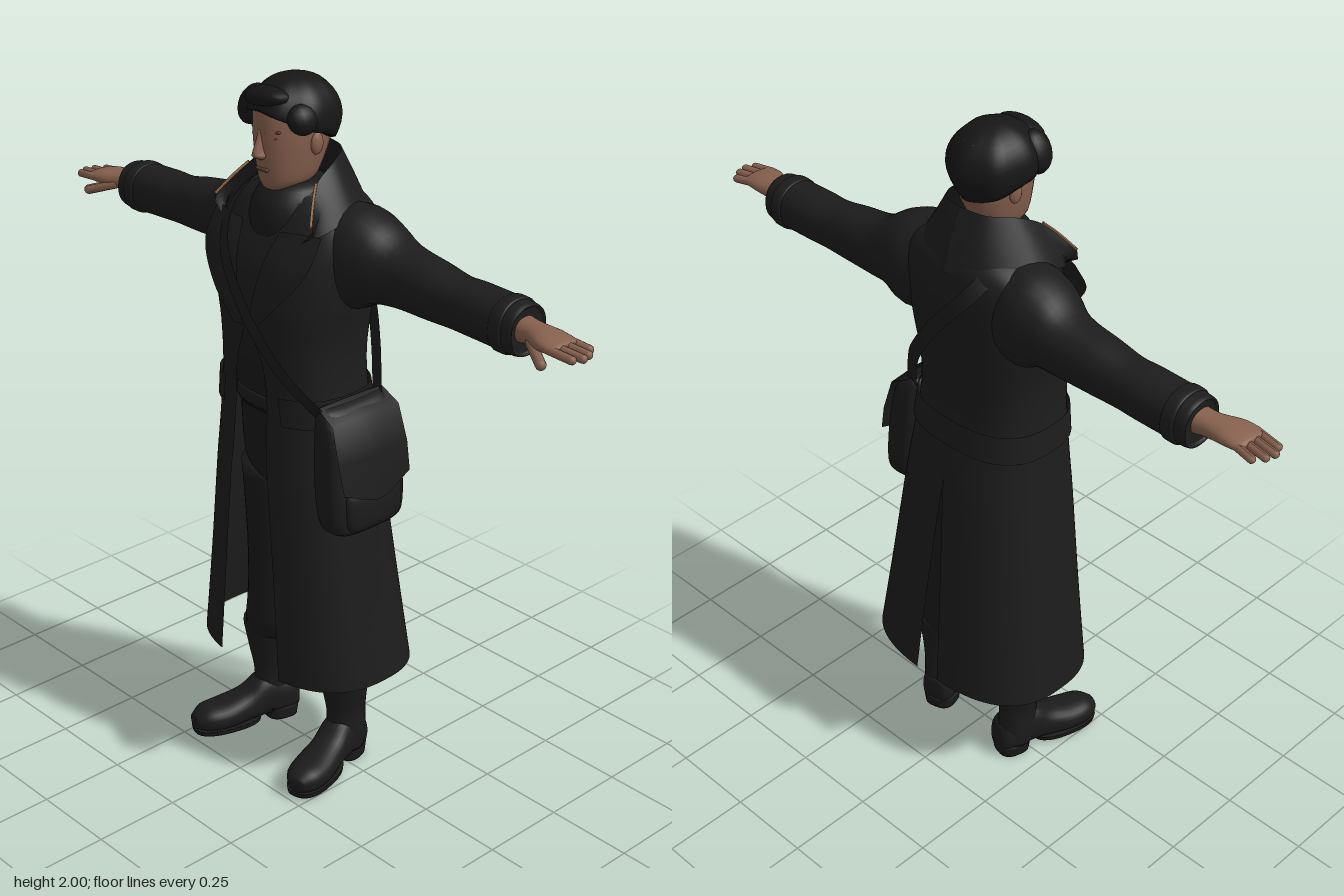
import * as THREE from 'three';

const colour = (name, hex, side = THREE.DoubleSide) => {
  const m = new THREE.MeshStandardMaterial({ color: hex, side });
  m.name = name;
  return m;
};
const V = (p) => new THREE.Vector3(...p);

// Smoothly interpolates rows of numbers (Catmull-Rom), k steps per row
function smooth(rows, k = 4) {
  const out = [];
  const at = (i) => rows[Math.min(Math.max(i, 0), rows.length - 1)];
  for (let i = 0; i < rows.length - 1; i++) {
    const [a, b, c, d] = [at(i - 1), at(i), at(i + 1), at(i + 2)];
    for (let s = 0; s < k; s++) {
      const t = s / k;
      out.push(b.map((_, n) => b[n] + 0.5 * t * (c[n] - a[n] + t * (2 * a[n] - 5 * b[n] + 4 * c[n] - d[n]
        + t * (3 * (b[n] - c[n]) + d[n] - a[n])))));
    }
  }
  out.push(at(rows.length - 1));
  return out;
}

// Joins rings of points into a surface; closed rings get end caps
function skin(rings, closed) {
  const n = rings[0].length, pos = rings.flat(2), idx = [], m = rings.length;
  for (let i = 0; i < m - 1; i++) {
    for (let j = 0; j < (closed ? n : n - 1); j++) {
      const a = i * n + j, b = i * n + (j + 1) % n;
      idx.push(a, a + n, b, b, a + n, b + n);
    }
  }
  if (closed) {
    [0, m - 1].forEach((r, e) => {
      const c = pos.length / 3;
      for (let q = 0; q < 3; q++) pos.push(rings[r].reduce((s, p) => s + p[q], 0) / n);
      for (let j = 0; j < n; j++) {
        const a = r * n + j, b = r * n + (j + 1) % n;
        if (e) idx.push(c, b, a); else idx.push(c, a, b);
      }
    });
  }
  const g = new THREE.BufferGeometry();
  g.setAttribute('position', new THREE.Float32BufferAttribute(pos, 3));
  g.setIndex(idx);
  g.computeVertexNormals();
  return g;
}

const pw = (v, p) => Math.sign(v) * Math.abs(v) ** (2 / p);

// Superellipse loft. y rows: [y, cx, cz, rx, rz]; x rows: [x, cy, cz, ry, rz]; z rows: [z, cx, cy, rx, ry]
function loft(axis, rows, p = 2, n = 28) {
  return skin(smooth(rows).map(([s, a, b, ra, rb]) => Array.from({ length: n }, (_, j) => {
    const t = (j / n) * Math.PI * 2, c = pw(Math.cos(t), p), q = pw(Math.sin(t), p);
    if (axis === 'y') return [a + ra * c, s, b + rb * q];
    if (axis === 'x') return [s, a + ra * q, b + rb * c];
    return [a + ra * q, b + rb * c, s];
  })), true);
}

// Cloth patch stretched over several curves
const patch = (curves) => skin(curves.map((c) =>
  new THREE.CatmullRomCurve3(c.map(V)).getPoints(40).map((v) => v.toArray())), false);

// Rounded limb between two points
function limb(a, b, r) {
  const d = V(b).sub(V(a)), g = new THREE.CapsuleGeometry(r, d.length(), 4, 10);
  g.applyQuaternion(new THREE.Quaternion().setFromUnitVectors(new THREE.Vector3(0, 1, 0), d.clone().normalize()));
  return g.translate(...V(a).addScaledVector(d, 0.5).toArray());
}

function mirror(geo) {
  const g = geo.clone().scale(-1, 1, 1), i = g.index.array;
  for (let k = 0; k < i.length; k += 3) [i[k], i[k + 1]] = [i[k + 1], i[k]];
  g.computeVertexNormals();
  return g;
}

// Half coat panel. Rows: [y, half width, z front, z back, front gap, back slit]
function panel(rows, grow = 0) {
  const p = 2.6, n = 32;
  return skin(smooth(rows).map(([y, w, zf, zb, gap, slit]) => {
    const edge = (x) => Math.asin((Math.max(x, 0) / w) ** (p / 2));
    const t0 = edge(gap), t1 = Math.PI - edge(slit);
    return Array.from({ length: n + 1 }, (_, j) => {
      const t = t0 + (t1 - t0) * j / n;
      return [(w + grow) * pw(Math.max(Math.sin(t), 0), p), y,
        (zf + zb) / 2 + ((zf - zb) / 2 + grow) * pw(Math.cos(t), p)];
    });
  }), false);
}

export function createModel() {
  const group = new THREE.Group();
  const coat = colour('coat cloth', 0x1c1c1c), dark = colour('trousers and scarf', 0x191919);
  const leather = colour('leather', 0x1b1b1b), hairMat = colour('hair', 0x161616);
  const flesh = colour('skin', 0x86604d), shade = colour('brows and lips', 0x5c4034), tan = colour('tan trim', 0x9c6f4a);
  const add = (name, geo, mat) => {
    const m = new THREE.Mesh(geo, mat);
    m.name = name;
    group.add(m);
  };
  const pair = (name, geo, mat) => {
    add(name + 'Left', geo, mat);
    add(name + 'Right', mirror(geo), mat);
  };

  // Long coat, open below the waist and slit at the back
  pair('coat', panel([[0.33, 0.315, 0.215, -0.235, 0.12, 0.04], [0.6, 0.275, 0.21, -0.205, 0.1, 0.026],
    [0.9, 0.235, 0.205, -0.17, 0.075, 0.006], [1.0, 0.222, 0.2, -0.155, 0.065, 0], [1.15, 0.205, 0.192, -0.126, 0.06, 0],
    [1.25, 0.198, 0.195, -0.122, 0.05, 0], [1.33, 0.2, 0.2, -0.13, 0.02, 0], [1.42, 0.213, 0.203, -0.14, 0, 0],
    [1.52, 0.223, 0.185, -0.147, 0, 0], [1.6, 0.223, 0.15, -0.145, 0, 0], [1.66, 0.19, 0.12, -0.135, 0, 0],
    [1.7, 0.12, 0.09, -0.11, 0, 0]]), coat);
  pair('waistFlap', panel([[1.1, 0.212, 0.193, -0.135, 0.11, 0.0], [1.18, 0.203, 0.192, -0.124, 0.1, 0]], 0.008), coat);
  pair('lapel', patch([
    [[0.2, 1.63, 0.125], [0.195, 1.54, 0.175], [0.12, 1.44, 0.21], [0.04, 1.36, 0.215]],
    [[0.13, 1.63, 0.15], [0.12, 1.54, 0.195], [0.08, 1.45, 0.215], [0.03, 1.36, 0.215]],
    [[0.07, 1.62, 0.15], [0.05, 1.54, 0.19], [0.03, 1.45, 0.207], [0.01, 1.36, 0.21]]]), coat);

  // Turned-up collar with trim
  pair('collar', patch([
    [[0, 1.64, -0.145], [0.12, 1.65, -0.115], [0.19, 1.66, 0], [0.185, 1.63, 0.1], [0.14, 1.6, 0.155]],
    [[0, 1.73, -0.118], [0.09, 1.73, -0.092], [0.15, 1.725, 0], [0.165, 1.695, 0.085], [0.19, 1.635, 0.145]],
    [[0, 1.805, -0.085], [0.07, 1.8, -0.065], [0.112, 1.785, 0], [0.13, 1.74, 0.08], [0.185, 1.665, 0.145]]]), coat);
  pair('collarTrim', new THREE.TubeGeometry(new THREE.CatmullRomCurve3(
    [[0.128, 1.745, 0.078], [0.152, 1.71, 0.11], [0.183, 1.66, 0.147]].map(V)), 10, 0.004, 6), tan);

  // Sleeves and cuff straps
  pair('sleeve', loft('x', [[0.1, 1.55, -0.01, 0.13, 0.1], [0.2, 1.545, -0.02, 0.138, 0.115], [0.27, 1.548, -0.025, 0.11, 0.1],
    [0.34, 1.53, -0.035, 0.085, 0.082], [0.45, 1.52, -0.035, 0.076, 0.073], [0.53, 1.513, -0.035, 0.068, 0.068],
    [0.6, 1.512, -0.035, 0.069, 0.07], [0.745, 1.507, -0.033, 0.068, 0.066], [0.75, 1.507, -0.033, 0.055, 0.055]], 2.2), coat);
  pair('cuffStrap', loft('x', [[0.685, 1.508, -0.034, 0.066, 0.066], [0.69, 1.508, -0.034, 0.073, 0.073],
    [0.72, 1.508, -0.034, 0.073, 0.073], [0.725, 1.508, -0.034, 0.066, 0.066]], 2.2), coat);

  // Hands
  pair('palm', loft('x', [[0.73, 1.51, -0.03, 0.036, 0.04], [0.78, 1.511, -0.025, 0.029, 0.037],
    [0.84, 1.513, -0.014, 0.023, 0.052], [0.885, 1.511, -0.012, 0.016, 0.05], [0.895, 1.51, -0.012, 0.009, 0.045]], 2.2), flesh);
  [[-0.053, 0.925], [-0.026, 0.945], [0.001, 0.952], [0.027, 0.94]].forEach(([z, x], i) =>
    pair('finger' + (i + 1), limb([0.87, 1.512, z + 0.003], [x, 1.504, z - 0.004], 0.0115), flesh));
  pair('thumb', limb([0.8, 1.502, 0.008], [0.87, 1.478, 0.05], 0.014), flesh);

  // Shirt, belt, trousers
  add('shirt', loft('y', [[1.1, 0, 0.03, 0.165, 0.13], [1.3, 0, 0.035, 0.165, 0.138], [1.55, 0, 0.02, 0.15, 0.115]], 2.4), dark);
  add('hips', loft('y', [[0.86, 0, 0.02, 0.1, 0.09], [0.93, 0, 0.02, 0.16, 0.125], [1.15, 0, 0.03, 0.16, 0.13]], 2.3), dark);
  add('belt', loft('y', [[1.11, 0, 0.03, 0.172, 0.137], [1.15, 0, 0.03, 0.172, 0.137]], 2.3), leather);
  pair('trouserLeg', loft('y', [[0.3, 0.15, -0.01, 0.07, 0.07], [0.35, 0.13, -0.005, 0.088, 0.085], [0.45, 0.118, 0, 0.082, 0.085],
    [0.65, 0.102, 0.01, 0.08, 0.09], [0.9, 0.088, 0.02, 0.086, 0.112]]), dark);

  // Boots, toes turned out
  pair('bootShaft', loft('y', [[0.04, 0.152, -0.02, 0.05, 0.06], [0.1, 0.155, -0.02, 0.05, 0.062], [0.17, 0.156, -0.018, 0.049, 0.062],
    [0.25, 0.156, -0.012, 0.064, 0.071], [0.325, 0.156, -0.01, 0.079, 0.081], [0.34, 0.156, -0.01, 0.07, 0.072]]), leather);
  const foot = (g) => g.rotateY(0.27).translate(0.15, 0, -0.02);
  pair('bootFoot', foot(loft('z', [[-0.065, 0, 0.06, 0.033, 0.045], [-0.04, 0, 0.07, 0.05, 0.06], [0.04, 0, 0.082, 0.05, 0.07],
    [0.1, 0, 0.062, 0.053, 0.05], [0.17, 0, 0.05, 0.059, 0.042], [0.23, 0, 0.048, 0.05, 0.037], [0.265, 0, 0.045, 0.024, 0.02]], 2.3)), leather);
  pair('bootSole', foot(loft('y', [[0.008, 0, 0.16, 0.056, 0.105], [0.024, 0, 0.16, 0.058, 0.108]], 2.5)), leather);
  pair('bootHeel', foot(loft('y', [[0, 0, -0.015, 0.046, 0.048], [0.04, 0, -0.015, 0.05, 0.053]], 2.8)), leather);

  // Scarf folds
  add('scarf', loft('y', [[1.56, 0, 0.06, 0.085, 0.09], [1.62, 0, 0.055, 0.105, 0.102], [1.67, 0, 0.05, 0.1, 0.1],
    [1.71, 0, 0.035, 0.085, 0.088], [1.725, 0, 0.03, 0.06, 0.065]]), dark);
  [[1.64, 0.086, 0.2], [1.685, 0.076, 0.3]].forEach(([y, r, tilt], i) =>
    add('scarfFold' + (i + 1), new THREE.TorusGeometry(r, 0.025, 10, 32).rotateX(Math.PI / 2 + tilt).translate(0, y, 0.045), dark));

  // Head and face
  add('head', loft('y', [[1.6, 0, 0, 0.05, 0.055], [1.69, 0, 0.02, 0.05, 0.06], [1.712, 0, 0.06, 0.042, 0.068],
    [1.74, 0, 0.055, 0.06, 0.086], [1.8, 0, 0.045, 0.073, 0.105], [1.86, 0, 0.04, 0.079, 0.115],
    [1.93, 0, 0.035, 0.078, 0.115], [1.97, 0, 0.03, 0.055, 0.085]], 2.15), flesh);
  add('nose', loft('y', [[1.795, 0, 0.145, 0.008, 0.01], [1.805, 0, 0.15, 0.018, 0.024], [1.818, 0, 0.15, 0.014, 0.025],
    [1.85, 0, 0.145, 0.009, 0.018], [1.875, 0, 0.143, 0.008, 0.012]]), flesh);
  pair('ear', new THREE.SphereGeometry(1, 12, 8).scale(0.012, 0.03, 0.02).translate(0.079, 1.83, 0.03), flesh);
  pair('brow', limb([0.018, 1.868, 0.149], [0.05, 1.871, 0.131], 0.004), shade);
  pair('eye', limb([0.023, 1.854, 0.146], [0.042, 1.854, 0.136], 0.004), shade);
  add('lips', limb([-0.018, 1.768, 0.145], [0.018, 1.768, 0.145], 0.005), shade);

  // Hair: a cap whose lower edge follows the hairline, with side locks
  const hairRings = [];
  for (let i = 0; i <= 14; i++) {
    hairRings.push(Array.from({ length: 48 }, (_, j) => {
      const t = (j / 48) * Math.PI * 2, front = Math.sin(t);
      const low = front > 0 ? 1.865 + 0.055 * front ** 1.5 : 1.865 + 0.05 * front;
      const u = Math.max(i - 1, 0) / 13, y = low + (1.999 - low) * Math.sin(u * Math.PI / 2);
      const k = Math.max((y - 1.895) / 0.105, 0), s = Math.max((1.895 - y) / 0.1, 0);
      const r = (i ? 1 : 0.75) * Math.sqrt(Math.max(1 - k * k, 0)) * (1 - 0.35 * s * s) * (1 + 0.025 * Math.sin(7 * t));
      return [0.113 * r * Math.cos(t), y, 0.035 + 0.127 * r * front];
    }));
  }
  add('hair', skin(hairRings, true), hairMat);
  const lock = (name, p, s, tilt) => add(name, new THREE.SphereGeometry(1, 16, 12).scale(...s).rotateZ(tilt).translate(...p), hairMat);
  lock('fringeRight', [-0.075, 1.915, 0.105], [0.035, 0.058, 0.045], -0.35);
  lock('fringeLeft', [0.085, 1.905, 0.085], [0.033, 0.042, 0.045], 0.4);
  lock('fringeTop', [-0.01, 1.95, 0.12], [0.075, 0.028, 0.04], 0.1);

  // Shoulder bag with flap, pocket and strap
  add('bag', loft('y', [[0.82, 0.265, 0.035, 0.035, 0.09], [0.845, 0.262, 0.035, 0.055, 0.125], [0.95, 0.252, 0.035, 0.06, 0.133],
    [1.1, 0.238, 0.035, 0.053, 0.125], [1.155, 0.222, 0.035, 0.035, 0.112], [1.17, 0.215, 0.035, 0.015, 0.1]], 3.5), leather);
  add('bagPocket', loft('y', [[0.83, 0.295, 0.035, 0.02, 0.08], [0.86, 0.297, 0.035, 0.033, 0.098],
    [0.93, 0.292, 0.035, 0.035, 0.1], [0.97, 0.285, 0.035, 0.022, 0.095]], 3.5), leather);
  add('bagFlap', patch([
    [[0.215, 1.174, -0.08], [0.215, 1.176, 0.035], [0.215, 1.174, 0.15]],
    [[0.275, 1.14, -0.085], [0.28, 1.145, 0.035], [0.275, 1.14, 0.155]],
    [[0.305, 1.04, -0.09], [0.31, 1.04, 0.035], [0.305, 1.04, 0.16]],
    [[0.322, 0.96, -0.085], [0.333, 0.92, 0.035], [0.322, 0.96, 0.155]]]), leather);
  const path = [[0.215, 1.15, 0.14], [0.165, 1.22, 0.185], [0.1, 1.29, 0.208], [0, 1.42, 0.222], [-0.09, 1.55, 0.2],
    [-0.13, 1.64, 0.14], [-0.135, 1.71, 0], [-0.1, 1.62, -0.155], [0.02, 1.48, -0.162], [0.1, 1.37, -0.148],
    [0.165, 1.28, -0.105], [0.22, 1.15, -0.06]];
  add('bagStrap', patch([-1, 0, 1].map((s) => path.map(([x, y, z]) => [x + s * 0.017, y + s * 0.012, z]))), leather);
  return group;
}
